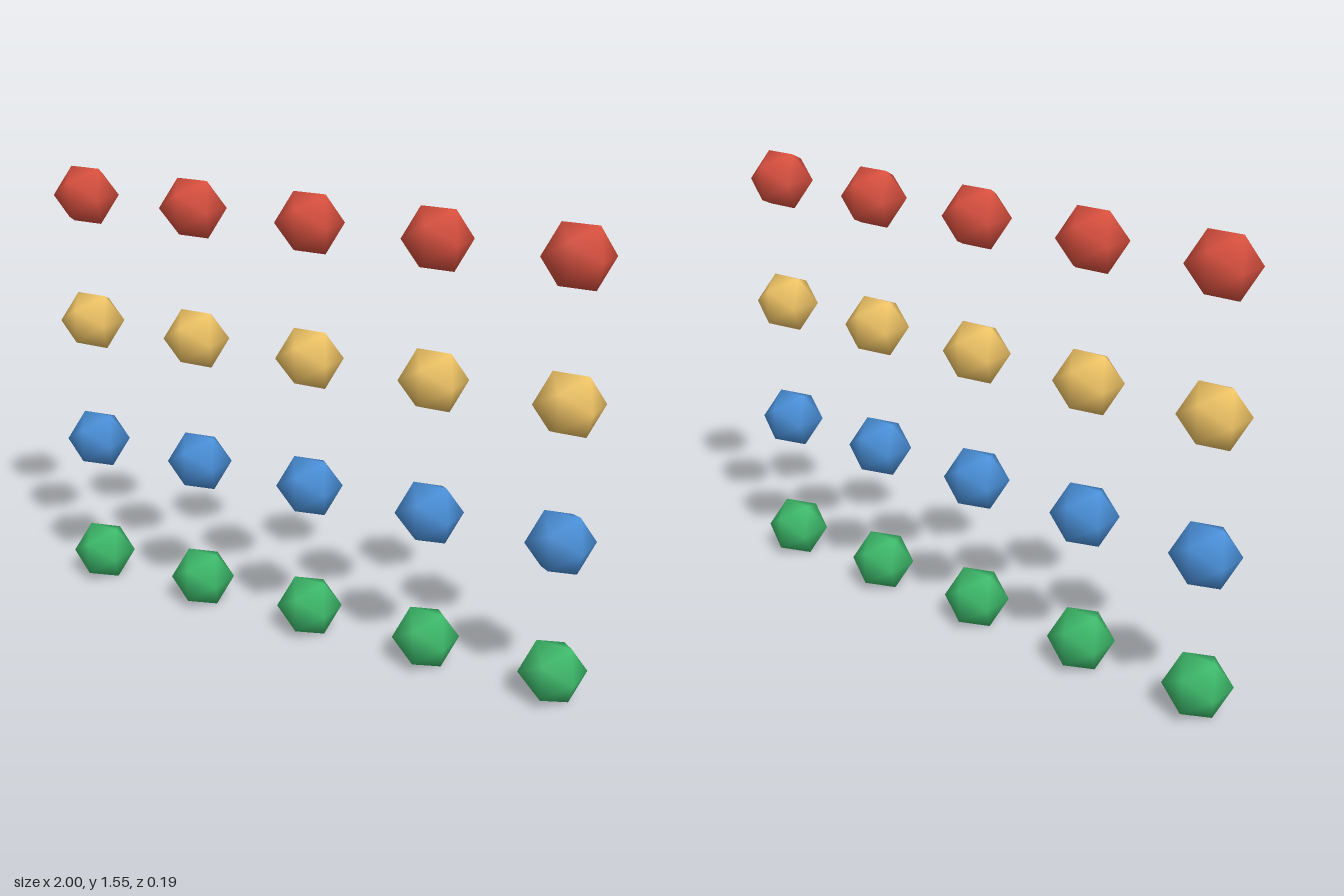
import * as THREE from 'three';

const SPACING = 0.452;
const RADIUS = 0.113;
const COLUMNS = 5;
// Rows from bottom to top
const ROWS = [
  { name: 'green', color: 0x3dba6b },
  { name: 'blue', color: 0x4a90d9 },
  { name: 'yellow', color: 0xf0c466 },
  { name: 'red', color: 0xd9503f },
];

// Twenty-sided ball with smooth, radial normals
function ballGeometry() {
  const geometry = new THREE.IcosahedronGeometry(RADIUS, 0);
  geometry.setAttribute('normal', geometry.attributes.position.clone());
  geometry.normalizeNormals();
  return geometry;
}

export function createModel() {
  const model = new THREE.Group();
  model.name = 'ballGrid';
  const geometry = ballGeometry();
  geometry.computeBoundingBox();
  const base = geometry.boundingBox.max.y;

  // One group per coloured row
  ROWS.forEach(({ name, color }, r) => {
    const row = new THREE.Group();
    row.name = `${name}Row`;
    row.position.y = base + r * SPACING;
    const material = new THREE.MeshStandardMaterial({ color });
    for (let c = 0; c < COLUMNS; c++) {
      const ball = new THREE.Mesh(geometry, material);
      ball.name = `${name}Ball${c + 1}`;
      ball.position.x = (c - (COLUMNS - 1) / 2) * SPACING;
      row.add(ball);
    }
    model.add(row);
  });
  return model;
}
